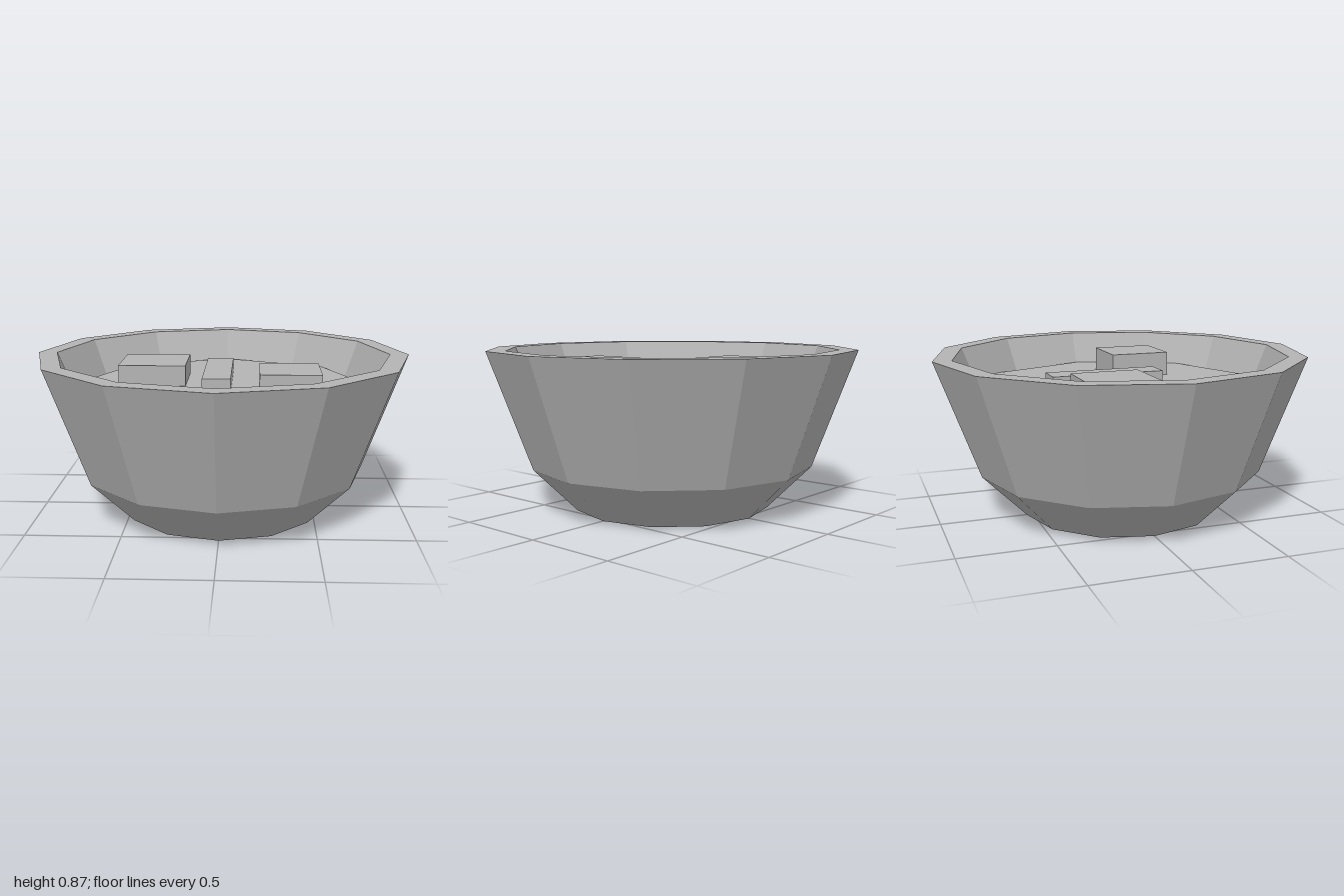
import * as THREE from 'three';

// Split every face so it gets its own flat normal
function faceted(geometry) {
  const g = geometry.index ? geometry.toNonIndexed() : geometry;
  g.computeVertexNormals();
  return g;
}

export function createModel() {
  const model = new THREE.Group();
  const grey = new THREE.MeshStandardMaterial({ color: 0xb4b4b4 });
  grey.name = 'grey';

  function add(name, geometry, x = 0, y = 0, z = 0) {
    const mesh = new THREE.Mesh(faceted(geometry), grey);
    mesh.name = name;
    mesh.position.set(x, y, z);
    model.add(mesh);
  }

  // Twelve-sided bowl: base, outer wall, rim, inner wall, inner floor
  const profile = [
    [0, 0], [0.535, 0], [0.77, 0.235], [1, 0.865],
    [0.9, 0.865], [0.67, 0.3], [0.45, 0.1], [0, 0.1],
  ].map(([r, y]) => new THREE.Vector2(r, y));
  add('bowl', new THREE.LatheGeometry(profile, 12));

  // Eight-sided flat filling, its corners just meeting the wall
  const fillTop = 0.69;
  const filling = new THREE.CircleGeometry(0.813, 8);
  filling.rotateX(-Math.PI / 2);
  add('filling', filling, 0, fillTop, 0);

  // Chunks standing out of the filling: x range, z range, top
  const chunks = [
    ['leftChunk', 0.2, 0.515, 0.033, 0.365, 0.82],
    ['rightChunk', -0.565, -0.2, -0.335, 0.03, 0.8],
    ['middleStick', -0.1, 0.05, -0.4, 0.215, 0.768],
  ];
  for (const [name, x0, x1, z0, z1, top] of chunks) {
    const bottom = fillTop - 0.04;
    add(name, new THREE.BoxGeometry(x1 - x0, top - bottom, z1 - z0),
      (x0 + x1) / 2, (top + bottom) / 2, (z0 + z1) / 2);
  }

  return model;
}
